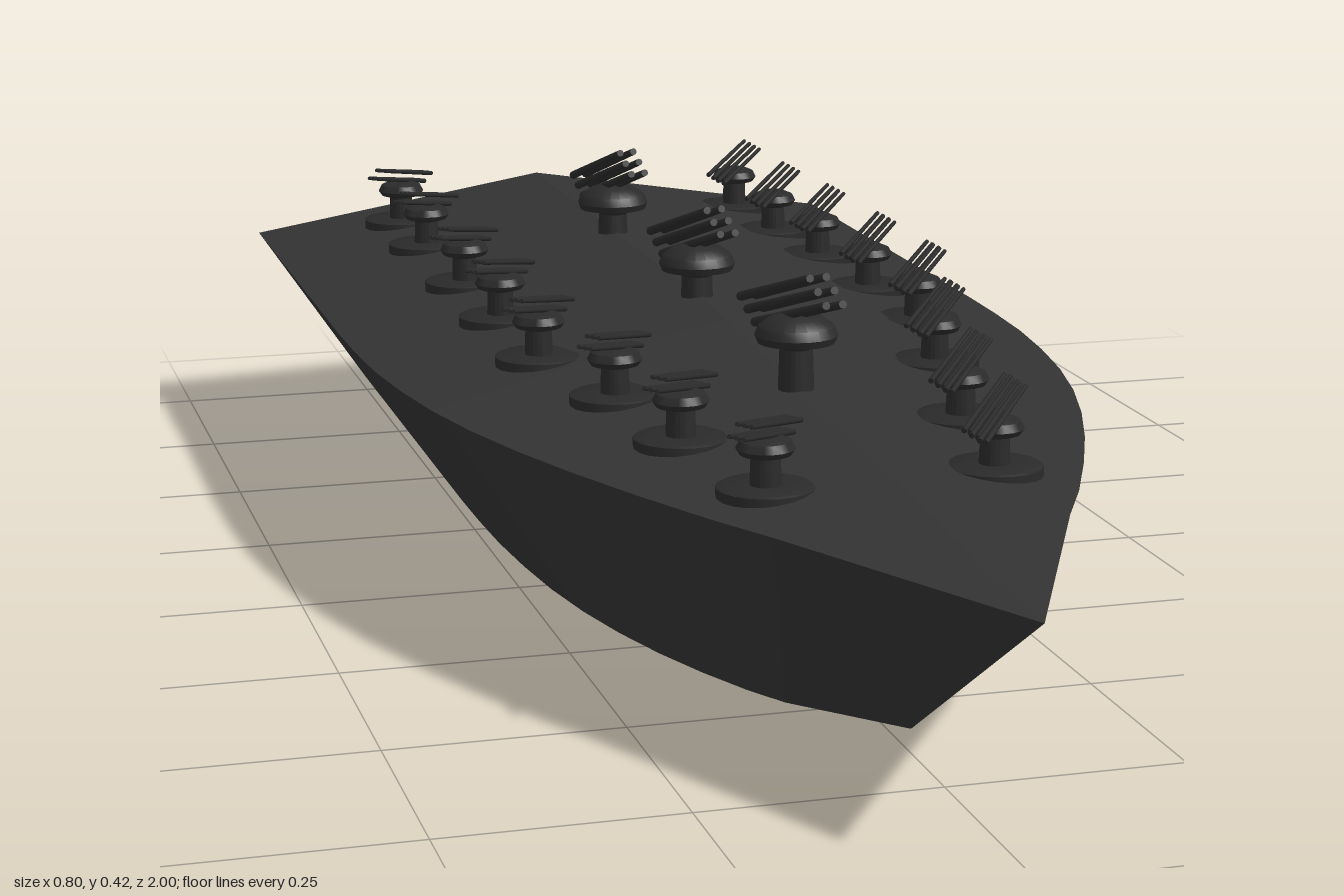
import * as THREE from 'three';
import { toCreasedNormals } from 'three/addons/utils/BufferGeometryUtils.js';

const hullMat = new THREE.MeshStandardMaterial({ color: 0x333333 });
const gunMat = new THREE.MeshStandardMaterial({ color: 0x2a2a2a });

// Deck outline from stern to bow: [z, half width]
const OUTLINE = [[-0.97, 0.4], [-0.3, 0.4], [-0.2, 0.398], [-0.1, 0.393], [0, 0.382], [0.1, 0.366], [0.2, 0.343],
  [0.3, 0.313], [0.4, 0.277], [0.5, 0.236], [0.6, 0.191], [0.68, 0.15], [1, 0]];
const EDGE_Y = 0.24, CHINE_Y = 0.025;

const ridgeY = z => 0.3 - 0.06 * Math.max(0, (z + 0.1) / 1.1);
const keelY = z => CHINE_Y * Math.pow(Math.max(0, (z + 0.3) / 0.95), 1.5);
const chineZ = z => (z < 0 ? z : z < 0.68 ? z - 0.14 * (z / 0.68) ** 2 : 0.54 + (z - 0.68) * 0.11 / 0.32);

function halfWidth(z) {
  for (let i = 1; i < OUTLINE.length; i++) {
    const [z0, w0] = OUTLINE[i - 1], [z1, w1] = OUTLINE[i];
    if (z <= z1) return w0 + (w1 - w0) * Math.max(0, (z - z0) / (z1 - z0));
  }
  return 0;
}
const deckY = (x, z) => EDGE_Y + (ridgeY(z) - EDGE_Y) * (1 - Math.abs(x) / halfWidth(z));

// Hull: six-point sections (ridge, deck edge, chine, keel, chine, deck edge) joined in loops
function hullGeometry() {
  const pos = [], index = [], n = 6;
  OUTLINE.forEach(([z, w], i) => {
    const c = w * 0.64, cz = chineZ(z), back = i === 0 ? 0.03 : 0;
    pos.push(0, ridgeY(z), z - back, w, EDGE_Y, z, c, CHINE_Y, cz,
      0, keelY(cz), cz - back, -c, CHINE_Y, cz, -w, EDGE_Y, z);
  });
  for (let i = 0; i < OUTLINE.length - 1; i++) {
    for (let j = 0; j < n; j++) {
      const a = i * n + j, b = i * n + (j + 1) % n;
      index.push(a, a + n, b, b, a + n, b + n);
    }
  }
  for (let j = 1; j < n - 1; j++) index.push(0, j, j + 1); // transom
  const g = new THREE.BufferGeometry();
  g.setAttribute('position', new THREE.Float32BufferAttribute(pos, 3));
  g.setIndex(index);
  return toCreasedNormals(g, 0.2);
}

function add(parent, name, geo, mat, x = 0, y = 0, z = 0) {
  const m = new THREE.Mesh(geo, mat);
  m.name = name;
  m.position.set(x, y, z);
  parent.add(m);
  return m;
}

const lathe = pts => toCreasedNormals(
  new THREE.LatheGeometry(pts.map(p => new THREE.Vector2(...p)), 20), 0.6);

const smallMount = lathe([[0, -0.012], [0.05, -0.012], [0.05, 0.004], [0.046, 0.006], [0.016, 0.006], [0.015, 0.034],
  [0.026, 0.037], [0.03, 0.043], [0.026, 0.051], [0.014, 0.056], [0, 0.057]]);
const bigMount = lathe([[0, -0.03], [0.02, -0.03], [0.018, 0.03], [0.022, 0.034], [0.042, 0.037], [0.045, 0.045],
  [0.041, 0.055], [0.028, 0.064], [0, 0.068]]);

// Bundle of parallel barrels along +z, raised at the muzzle, upper rows set further back
function barrels(length, radius, cols, rows, gapX, gapY, stagger, pitch) {
  const g = new THREE.Group();
  g.name = 'barrels';
  const geo = new THREE.CylinderGeometry(radius * 0.8, radius, length, 8).rotateX(Math.PI / 2);
  for (let r = 0; r < rows; r++) {
    for (let c = 0; c < cols; c++) {
      add(g, 'barrel', geo, gunMat, (c - (cols - 1) / 2) * gapX, (r - (rows - 1) / 2) * gapY,
        ((rows - 1) / 2 - r) * stagger + (c - (cols - 1) / 2) * stagger * 0.5);
    }
  }
  g.rotation.x = -pitch;
  return g;
}

function smallGun(x, z, yaw) {
  const gun = new THREE.Group();
  gun.name = 'sideGun';
  add(gun, 'mount', smallMount, gunMat);
  const b = barrels(0.145, 0.003, 3, 2, 0.011, 0.011, 0.02, 0.18);
  b.position.y = 0.063;
  gun.add(b);
  gun.position.set(x, deckY(x, z), z);
  gun.rotation.y = yaw;
  return gun;
}

function bigGun(z) {
  const gun = new THREE.Group();
  gun.name = 'centreGun';
  add(gun, 'mount', bigMount, gunMat);
  const b = barrels(0.27, 0.0055, 2, 3, 0.014, 0.016, 0.025, 0.27);
  b.position.set(0, 0.077, -0.025);
  gun.add(b);
  gun.position.set(0, 0.293, z);
  return gun;
}

export function createModel() {
  const model = new THREE.Group();
  model.name = 'gunship';
  add(model, 'hull', hullGeometry(), hullMat);

  // Centreline guns
  [0.26, -0.14, -0.55].forEach(z => model.add(bigGun(z)));

  // Side guns: right row aims forward and out, left row aims aft and out
  const right = [[-0.22, -0.86], [-0.22, -0.68], [-0.22, -0.43], [-0.22, -0.22], [-0.22, -0.015],
    [-0.18, 0.18], [-0.155, 0.36], [-0.12, 0.55]];
  const left = [[0.255, -0.87], [0.255, -0.68], [0.265, -0.51], [0.265, -0.3], [0.265, -0.11],
    [0.21, 0.11], [0.155, 0.35], [0.125, 0.535]];
  right.forEach(([x, z]) => model.add(smallGun(x, z, -0.64)));
  left.forEach(([x, z]) => model.add(smallGun(x, z, Math.PI - 0.64)));
  return model;
}
